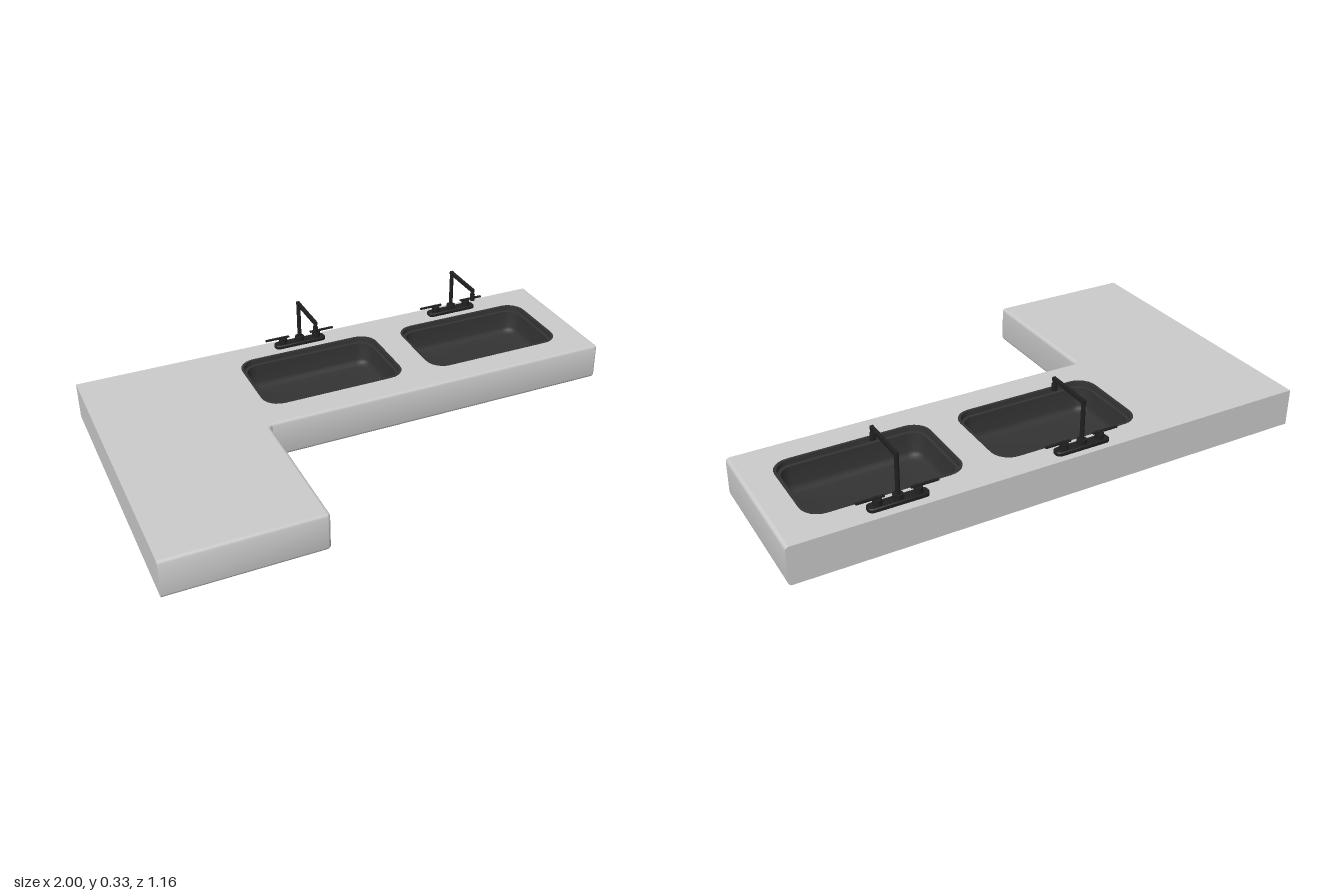
import * as THREE from 'three';
import { toCreasedNormals } from 'three/addons/utils/BufferGeometryUtils.js';

const TOP = 0.145, BEVEL = 0.013, FILLET = 0.016;
const grey = new THREE.MeshStandardMaterial({ color: 0xcccccc });
const sinkDark = new THREE.MeshStandardMaterial({ color: 0x333333 });
const tapDark = new THREE.MeshStandardMaterial({ color: 0x202020 });

function mesh(name, geometry, material, x = 0, y = 0, z = 0) {
  const m = new THREE.Mesh(geometry, material);
  m.name = name;
  m.position.set(x, y, z);
  return m;
}

// Points of an arc in the x/z plane, as Vector2(x, z)
function arc(cx, cz, r, from, to, n = 6) {
  return Array.from({ length: n + 1 }, (_, i) => {
    const a = from + (to - from) * i / n;
    return new THREE.Vector2(cx + r * Math.cos(a), cz + r * Math.sin(a));
  });
}

function roundedRect(hw, hd, r) {
  const q = Math.PI / 2;
  return [[1, 1], [-1, 1], [-1, -1], [1, -1]].flatMap(([sx, sz], i) =>
    arc(sx * (hw - r), sz * (hd - r), r, i * q, (i + 1) * q));
}

// Skin between successive closed outlines [{ pts, y }]
function loft(rings, crease = 0.6) {
  const pos = [];
  const P = (k, j) => {
    const p = rings[k].pts[j % rings[k].pts.length];
    return new THREE.Vector3(p.x, rings[k].y, p.y);
  };
  const tri = (a, b, c) => {
    const area = b.clone().sub(a).cross(c.clone().sub(a)).length();
    if (area > 1e-10) for (const v of [a, b, c]) pos.push(v.x, v.y, v.z);
  };
  for (let k = 0; k < rings.length - 1; k++) {
    for (let j = 0; j < rings[k].pts.length; j++) {
      const a = P(k, j), b = P(k, j + 1), c = P(k + 1, j), d = P(k + 1, j + 1);
      tri(a, c, b);
      tri(b, c, d);
    }
  }
  const g = new THREE.BufferGeometry();
  g.setAttribute('position', new THREE.Float32BufferAttribute(pos, 3));
  return toCreasedNormals(g, crease);
}

// Rounded rectangles from a profile of [inset, y, cornerRadius]; inset null closes to the centre
function rectLoft(hw, hd, profile) {
  return loft(profile.map(([inset, y, r]) => ({
    y,
    pts: inset === null ? roundedRect(0, 0, 0) : roundedRect(hw - inset, hd - inset, r),
  })));
}

// L-shaped outline; only the exposed front and right edges are inset
function counterOutline(i) {
  const q = Math.PI / 2, r = FILLET;
  return [
    new THREE.Vector2(-1, -0.58),
    new THREE.Vector2(1 - i, -0.58),
    ...arc(1 - r, -r, r - i, 0, q),
    ...arc(-0.42 + r, r, r + i, 3 * q, 2 * q),
    ...arc(-0.42 - r, 0.58 - r, r - i, 0, q),
    new THREE.Vector2(-1, 0.58 - i),
  ];
}

const SINKS = [{ x: -0.095, z: -0.3, tapZ: -0.532 }, { x: 0.598, z: -0.292, tapZ: -0.525 }];
const SINK_W = 0.29, SINK_D = 0.18, SINK_R = 0.07;

function counter() {
  const g = new THREE.Group();
  g.name = 'counter';
  const rings = [], n = 5;
  for (const upper of [false, true]) {
    for (let k = 0; k <= n; k++) {
      const a = (upper ? k : n - k) / n * Math.PI / 2;
      const rise = BEVEL * (1 - Math.sin(a));
      rings.push({ pts: counterOutline(BEVEL * (1 - Math.cos(a))), y: upper ? TOP - rise : rise });
    }
  }
  g.add(mesh('counterEdges', loft(rings), grey));

  // Flat faces with the sink cut-outs; s flips z for the upward face
  const face = (s) => {
    const flip = (p) => new THREE.Vector2(p.x, s * p.y);
    const shape = new THREE.Shape(counterOutline(BEVEL).map(flip));
    for (const { x, z } of SINKS) {
      const hole = roundedRect(SINK_W, SINK_D, SINK_R).map((p) => flip(new THREE.Vector2(p.x + x, p.y + z)));
      shape.holes.push(new THREE.Path(hole));
    }
    return new THREE.ShapeGeometry(shape).rotateX(s * Math.PI / 2);
  };
  g.add(mesh('countertop', face(-1), grey, 0, TOP, 0));
  g.add(mesh('underside', face(1), grey));
  return g;
}

function faucet() {
  const g = new THREE.Group();
  g.name = 'faucet';
  const cyl = (r, h) => new THREE.CylinderGeometry(r, r, h, 20);

  // Base plate and centre collar
  g.add(mesh('basePlate', rectLoft(0.108, 0.022, [
    [null, 0], [0, 0, 0.018], [0, 0.011, 0.018], [0.003, 0.014, 0.015], [null, 0.014],
  ]), tapDark));
  g.add(mesh('collar', cyl(0.018, 0.02), tapDark, 0, 0.022, 0));

  // Squared spout
  g.add(mesh('spoutPost', cyl(0.008, 0.17), tapDark, 0, 0.1, 0));
  g.add(mesh('spoutArm', new THREE.BoxGeometry(0.012, 0.014, 0.196), tapDark, 0, 0.178, 0.09));
  g.add(mesh('spoutDrop', cyl(0.007, 0.03), tapDark, 0, 0.168, 0.181));
  g.add(mesh('spoutNozzle', cyl(0.01, 0.026), tapDark, 0, 0.148, 0.181));

  // Knobs with thin levers
  for (const s of [-1, 1]) {
    g.add(mesh('knob', cyl(0.016, 0.022), tapDark, s * 0.072, 0.025, 0));
    g.add(mesh('lever', new THREE.BoxGeometry(0.1, 0.006, 0.009), tapDark, s * 0.096, 0.039, 0));
  }
  return g;
}

export function createModel() {
  const model = new THREE.Group();
  model.name = 'doubleVanityCounter';
  model.add(counter());

  // Outer shell, stepped rim, bowl wall and floor
  const sinkGeometry = rectLoft(SINK_W, SINK_D, [
    [null, 0.002], [0, 0.002, SINK_R], [0, TOP + 0.001, SINK_R], [0.01, TOP + 0.001, 0.062],
    [0.012, 0.128, 0.06], [0.022, 0.126, 0.054], [0.026, 0.055, 0.05],
    [0.03, 0.042, 0.047], [0.038, 0.034, 0.042], [0.05, 0.031, 0.036], [null, 0.03],
  ]);
  for (const { x, z, tapZ } of SINKS) {
    model.add(mesh('sink', sinkGeometry, sinkDark, x, 0, z));
    const tap = faucet();
    tap.position.set(x, TOP, tapZ);
    model.add(tap);
  }
  return model;
}
